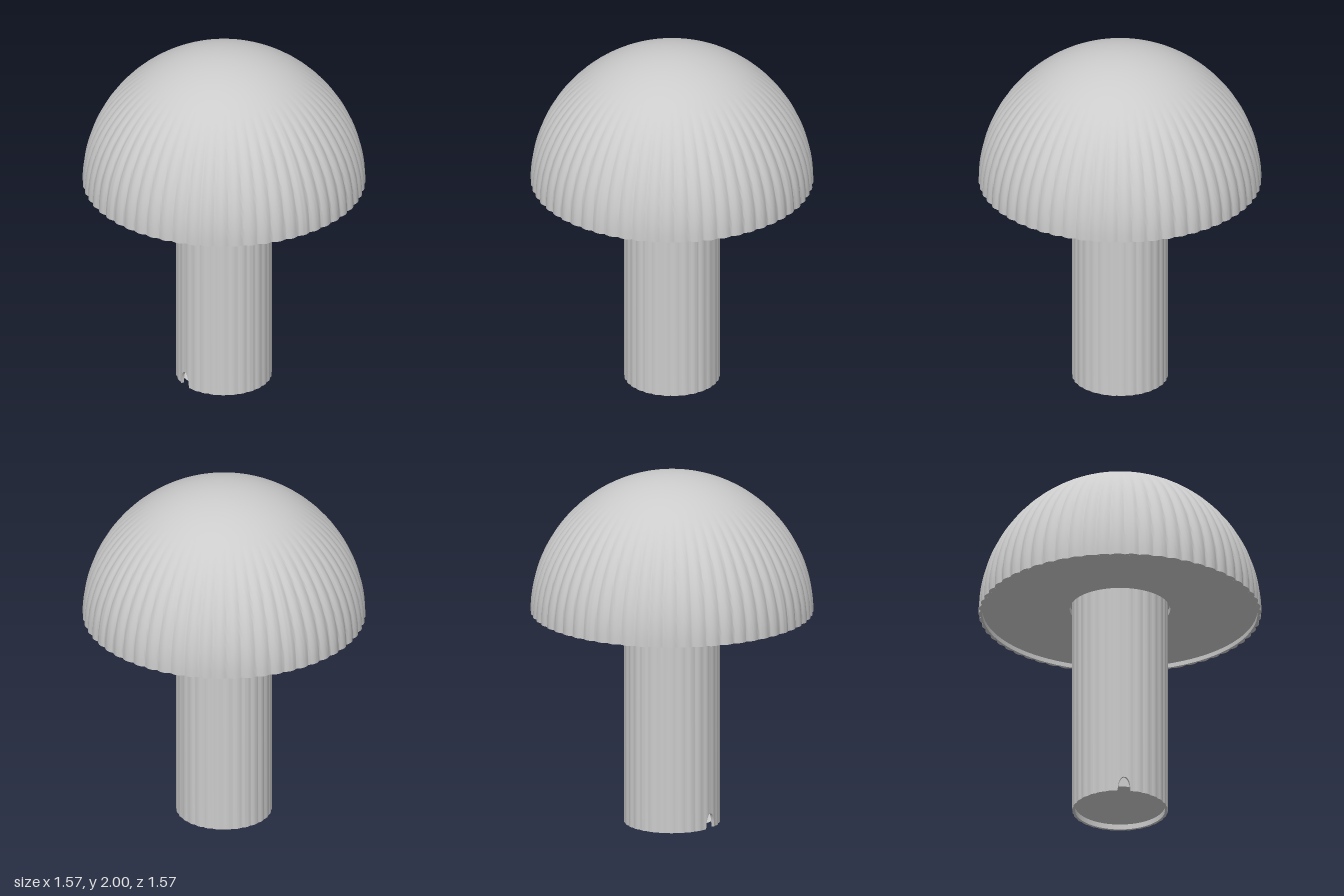
import * as THREE from 'three';
import { toCreasedNormals } from 'three/addons/utils/BufferGeometryUtils.js';

const { smoothstep } = THREE.MathUtils;
const material = new THREE.MeshStandardMaterial({ color: 0xcccccc, side: THREE.DoubleSide });

// Lathe a profile, then move every vertex by a rule (radius, y, angle) -> [radius, y]
function turned(name, profile, segments, rule) {
  const points = profile.map(([r, y]) => new THREE.Vector2(r, y));
  const geometry = new THREE.LatheGeometry(points, segments);
  const pos = geometry.attributes.position;
  for (let i = 0; rule && i < pos.count; i++) {
    const angle = Math.atan2(pos.getX(i), pos.getZ(i));
    const [r, y] = rule(Math.hypot(pos.getX(i), pos.getZ(i)), pos.getY(i), angle);
    pos.setXYZ(i, r * Math.sin(angle), y, r * Math.cos(angle));
  }
  const mesh = new THREE.Mesh(toCreasedNormals(geometry, 1.0), material);
  mesh.name = name;
  return mesh;
}

// Rounded ribs with narrow grooves between them: 0 on the crest, 1 in the groove
const groove = (angle, count) => 1 - Math.abs(Math.cos((angle * count) / 2));

export function createModel() {
  const group = new THREE.Group();
  group.name = 'mushroomLamp';

  // Domed shade, smooth at the crown, with ribs deepening toward the rim
  const R = 0.787, rimY = 1.21, dome = [[0.765, rimY]];
  for (let i = 0; i <= 32; i++) {
    const a = (i / 32) * Math.PI / 2;
    dome.push([i === 32 ? 0 : R * Math.cos(a), rimY + 0.79 * Math.sin(a)]);
  }
  group.add(turned('shade', dome, 600, (r, y, a) => {
    const inner = y < rimY + 0.001 && r < 0.77;
    const depth = inner ? 0 : 0.012 * smoothstep(r, 0.4, 0.72);
    return [r - depth * groove(a, 60), y];
  }));

  // Recessed underside of the shade, with a clearance hole around the stem
  group.add(turned('shadeUnderside', [
    [0.24, 1.27], [0.28, 1.27], [0.28, 1.235], [0.765, 1.235], [0.765, rimY],
  ], 120));

  // Ribbed hollow stem with an arched cable notch at the foot on the -x side
  group.add(turned('stem', [
    [0.25, 0.13], [0.25, 0], [0.267, 0], [0.267, 0.13], [0.267, 1.27],
  ], 360, (r, y, a) => {
    const across = (a + Math.PI / 2) * 0.267 / 0.037;
    const arch = Math.abs(across) < 1 ? 0.085 * Math.sqrt(1 - across * across) : 0;
    return [r > 0.26 ? r - 0.005 * groove(a, 30) : r, Math.max(y, arch)];
  }));

  // Plate set into the foot of the stem
  group.add(turned('basePlate', [[0, 0.03], [0.25, 0.03]], 90));
  return group;
}
